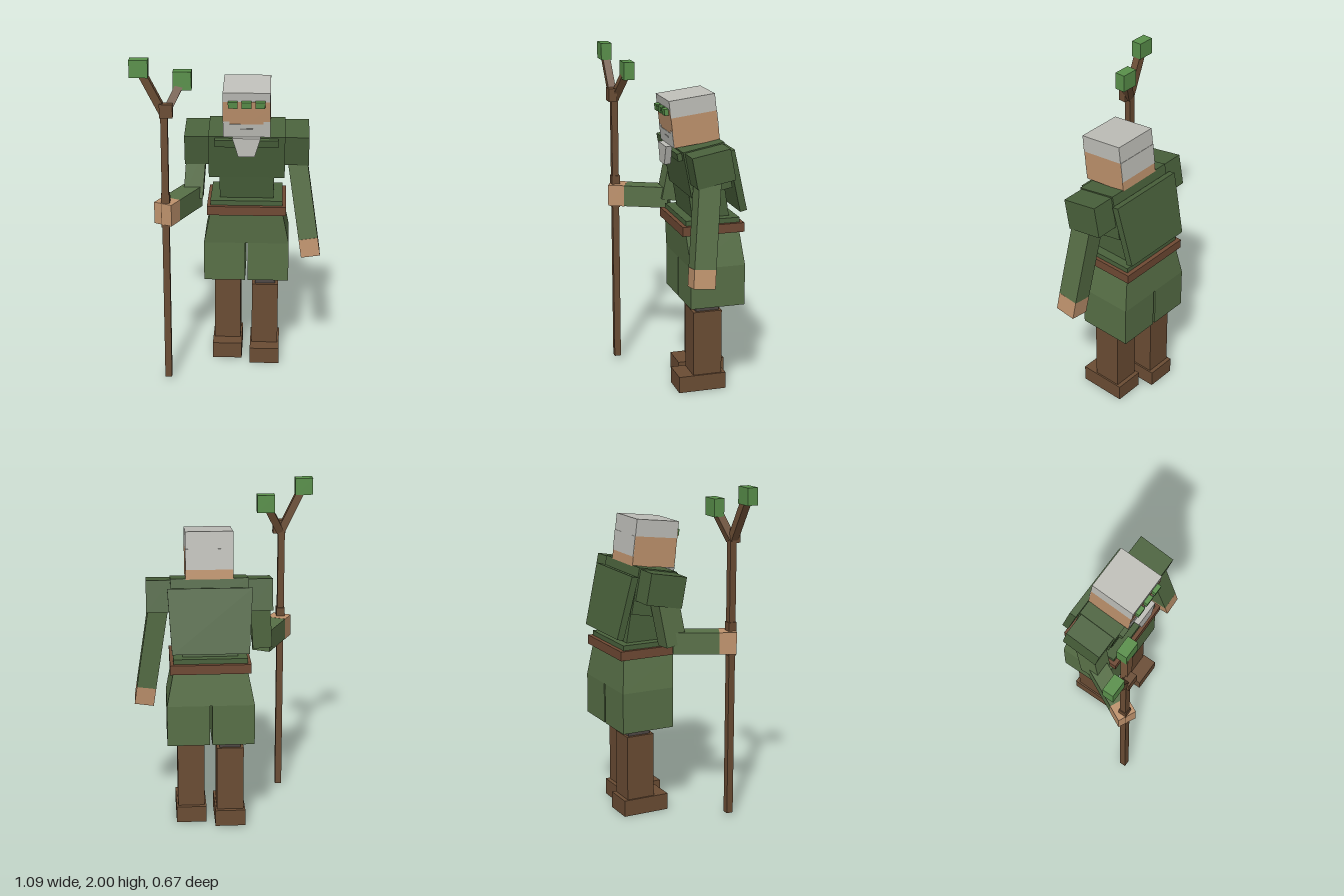
import * as THREE from 'three';

const mat = (name, color) => {
  const m = new THREE.MeshStandardMaterial({ color });
  m.name = name;
  return m;
};

export function createModel() {
  const tunic = mat('dark green cloth', 0x4a623c);
  const cloth = mat('green cloth', 0x587047);
  const leaf = mat('leaf green', 0x5a914b);
  const brown = mat('brown leather and wood', 0x6b4d34);
  const beltBrown = mat('belt brown', 0x704a34);
  const skin = mat('skin', 0xbf936d);
  const hair = mat('grey hair', 0xc0c0ba);
  const grey = mat('dark stocking', 0x4f4845);
  const line = mat('mouth grey', 0x8a8a86);

  const model = new THREE.Group();
  model.name = 'staffBearer';
  const CX = 0.096; // centre line of the body

  const box = (name, m, size, pos, pitch = 0, parent = model) => {
    const mesh = new THREE.Mesh(new THREE.BoxGeometry(...size), m);
    mesh.name = name;
    mesh.position.set(...pos);
    mesh.rotation.x = pitch;
    parent.add(mesh);
    return mesh;
  };
  // box whose top face is scaled and moved in z
  const taper = (mesh, sx, sz, dz = 0) => {
    const p = mesh.geometry.attributes.position;
    for (let i = 0; i < p.count; i++) {
      if (p.getY(i) > 0) p.setXYZ(i, p.getX(i) * sx, p.getY(i), p.getZ(i) * sz + dz);
    }
    mesh.geometry.computeVertexNormals();
    return mesh;
  };
  // box running from a to b
  const UP = new THREE.Vector3(0, 1, 0);
  const limb = (name, m, w, d, a, b) => {
    const A = new THREE.Vector3(...a), B = new THREE.Vector3(...b);
    const dir = A.clone().sub(B);
    const mesh = box(name, m, [w, dir.length(), d], A.add(B).multiplyScalar(0.5).toArray());
    mesh.quaternion.setFromUnitVectors(UP, dir.normalize());
    return mesh;
  };

  // legs: the left one stands a little ahead
  for (const [side, x, z] of [['left', 0.211, 0], ['right', -0.02, -0.065]]) {
    box(side + 'Foot', brown, [0.18, 0.1, 0.29], [x, 0.05, z - 0.085]);
    box(side + 'Boot', brown, [0.16, 0.4, 0.175], [x, 0.295, z - 0.1175]);
    box(side + 'Stocking', grey, [0.125, 0.2, 0.14], [x, 0.52, z - 0.12]);
  }

  // skirt with two lower panels, and belt
  taper(box('skirtTop', cloth, [0.512, 0.195, 0.33], [CX, 0.8825, -0.16]), 0.85, 0.985, 0.022);
  for (const s of [-1, 1]) {
    box('skirtPanel', cloth, [0.249, 0.245, 0.33], [CX + s * 0.1315, 0.6625, -0.16]);
  }
  box('belt', beltBrown, [0.47, 0.055, 0.375], [CX, 1.008, -0.138]);
  box('waistRim', tunic, [0.43, 0.09, 0.325], [CX, 1.02, -0.138]);

  // torso, leaning forward
  box('belly', tunic, [0.322, 0.22, 0.22], [CX, 1.145, -0.13], 0.16);
  box('chest', tunic, [0.45, 0.275, 0.25], [CX, 1.361, -0.103], 0.19);
  box('collar', tunic, [0.373, 0.045, 0.05], [CX, 1.44, 0.042], 0.19);
  const cape = box('cape', tunic, [0.445, 0.378, 0.042], [CX, 1.287, -0.28], 0.233);
  taper(cape, 1.1, 1);
  for (const s of [-1, 1]) {
    box('shoulder', tunic, [0.142, 0.185, 0.23], [CX + s * 0.295, 1.398, -0.095], 0.184);
  }

  // left arm hanging down
  limb('leftArm', cloth, 0.115, 0.13, [0.382, 1.4, -0.085], [0.468, 0.825, -0.026]);
  limb('leftHand', skin, 0.115, 0.13, [0.468, 0.825, -0.026], [0.484, 0.715, -0.016]);

  // right arm bent forward to the staff
  limb('rightUpperArm', cloth, 0.115, 0.13, [-0.198, 1.4, -0.09], [-0.222, 1.07, -0.033]);
  const forearm = new THREE.Group();
  forearm.name = 'rightForearm';
  forearm.position.set(-0.217, 1.083, -0.03);
  forearm.rotation.y = Math.atan2(-0.16, 0.33);
  box('rightSleeve', cloth, [0.112, 0.128, 0.27], [0, 0, 0.135], 0, forearm);
  box('rightHand', skin, [0.114, 0.13, 0.1], [0, 0, 0.32], 0, forearm);
  model.add(forearm);

  // head, tipped forward
  const head = new THREE.Group();
  head.name = 'head';
  head.position.set(CX, 1.634, -0.05);
  head.rotation.x = 0.12;
  box('face', skin, [0.275, 0.175, 0.275], [0, -0.05, 0], 0, head);
  box('hairTop', hair, [0.275, 0.1, 0.275], [0, 0.0875, 0], 0, head);
  box('brow', skin, [0.275, 0.045, 0.004], [0, 0.06, 0.1375], 0, head);
  box('hairBack', hair, [0.275, 0.12, 0.004], [0, -0.022, -0.1375], 0, head);
  box('beardFace', hair, [0.275, 0.08, 0.004], [0, -0.0975, 0.1375], 0, head);
  for (const s of [-1, 1]) {
    box('beardSide', hair, [0.04, 0.018, 0.004], [s * 0.1175, -0.049, 0.1375], 0, head);
  }
  box('mouth', line, [0.075, 0.008, 0.004], [0, -0.088, 0.139], 0, head);
  for (const i of [-1, 0, 1]) {
    box('headLeaf', leaf, [0.056, 0.038, 0.03], [i * 0.079, 0.07, 0.148], 0, head);
  }
  model.add(head);
  const beard = box('beardTip', hair, [0.095, 0.112, 0.038], [CX, 1.425, 0.086]);
  taper(beard, 1.73, 1);

  // staff with forked top and leaf blocks
  box('staff', brown, [0.04, 1.66, 0.04], [-0.363, 0.85, 0.275]);
  box('staffGrip', brown, [0.05, 0.2, 0.05], [-0.363, 1.1, 0.275]);
  box('staffKnot', brown, [0.075, 0.08, 0.048], [-0.35, 1.705, 0.293]);
  limb('leftFork', brown, 0.045, 0.045, [-0.485, 1.93, 0.297], [-0.362, 1.68, 0.28]);
  limb('rightFork', brown, 0.045, 0.045, [-0.268, 1.85, 0.22], [-0.355, 1.68, 0.275]);
  box('leafBlock', leaf, [0.105, 0.1, 0.065], [-0.497, 1.95, 0.297]);
  box('leafBlock', leaf, [0.105, 0.105, 0.065], [-0.262, 1.8625, 0.2175]);

  return model;
}
